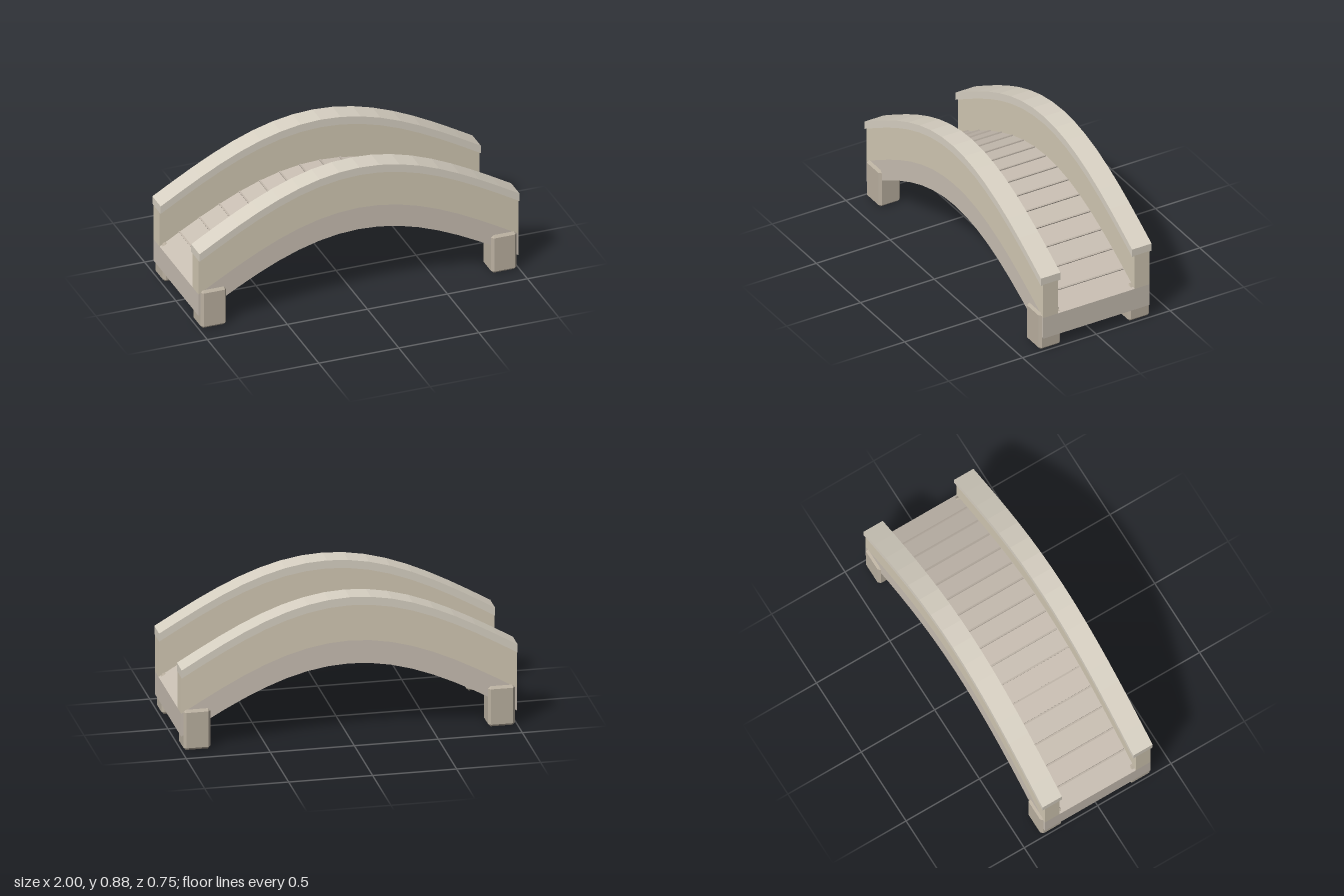
import * as THREE from 'three';
import { ConvexGeometry } from 'three/addons/geometries/ConvexGeometry.js';

const SEGMENTS = 16;
const RISE = 0.375;
const arch = (x) => RISE * Math.cos((x * Math.PI) / 2);

const material = (color) => new THREE.MeshStandardMaterial({ color, flatShading: true });

// Arched band between two heights (given at the ends), spanning z0..z1
function archBand(y0, y1, z0, z1) {
  const lower = [], upper = [];
  for (let i = 0; i <= SEGMENTS; i++) {
    const x = -1 + (2 * i) / SEGMENTS;
    lower.push(new THREE.Vector2(x, y0 + arch(x)));
    upper.unshift(new THREE.Vector2(x, y1 + arch(x)));
  }
  const shape = new THREE.Shape([...lower, ...upper]);
  const geometry = new THREE.ExtrudeGeometry(shape, { depth: z1 - z0, bevelEnabled: false });
  return geometry.translate(0, 0, z0);
}

// Box with every edge chamfered by c
function chamferedBox(w, h, d, c) {
  const points = [];
  for (const sx of [-1, 1]) for (const sy of [-1, 1]) for (const sz of [-1, 1]) {
    const [x, y, z] = [(sx * w) / 2, (sy * h) / 2, (sz * d) / 2];
    points.push(
      new THREE.Vector3(x, y - sy * c, z - sz * c),
      new THREE.Vector3(x - sx * c, y, z - sz * c),
      new THREE.Vector3(x - sx * c, y - sy * c, z)
    );
  }
  return new ConvexGeometry(points);
}

export function createModel() {
  const bridge = new THREE.Group();
  bridge.name = 'archBridge';

  const add = (name, geometry, mat) => {
    const mesh = new THREE.Mesh(geometry, mat);
    mesh.name = name;
    bridge.add(mesh);
    return mesh;
  };

  const deckMat = material(0xc9bfb3);
  const wallMat = material(0xd3c9b4);
  const copingMat = material(0xd9d2c4);
  const footMat = material(0xbab0a0);
  const seamMat = material(0xbdb3a7);

  // Walkway slab
  add('deck', archBand(0.085, 0.227, -0.36, 0.36), deckMat);

  // Side walls with overhanging coping
  for (const [side, s] of [['front', 1], ['back', -1]]) {
    const span = (a, b) => (s > 0 ? [a, b] : [-b, -a]);
    add(side + 'Wall', archBand(0.227, 0.455, ...span(0.26, 0.36)), wallMat);
    add(side + 'Coping', archBand(0.452, 0.502, ...span(0.243, 0.375)), copingMat);
  }

  // Thin raised strips across the deck at each joint
  const strip = new THREE.BoxGeometry(0.01, 0.016, 0.512);
  for (let i = 1; i < SEGMENTS; i++) {
    const x = -1 + (2 * i) / SEGMENTS;
    const slope = (-RISE * Math.PI / 2) * Math.sin((x * Math.PI) / 2);
    const mesh = add('deckStrip', strip, seamMat);
    mesh.position.set(x, 0.226 + arch(x), 0);
    mesh.rotation.z = Math.atan(slope);
  }

  // Chamfered feet at the four corners
  const foot = chamferedBox(0.16, 0.25, 0.147, 0.015);
  for (const sx of [-1, 1]) for (const sz of [-1, 1]) {
    const name = (sz > 0 ? 'front' : 'back') + (sx > 0 ? 'Left' : 'Right') + 'Foot';
    add(name, foot, footMat).position.set(sx * 0.907, 0.125, sz * 0.3015);
  }

  return bridge;
}
